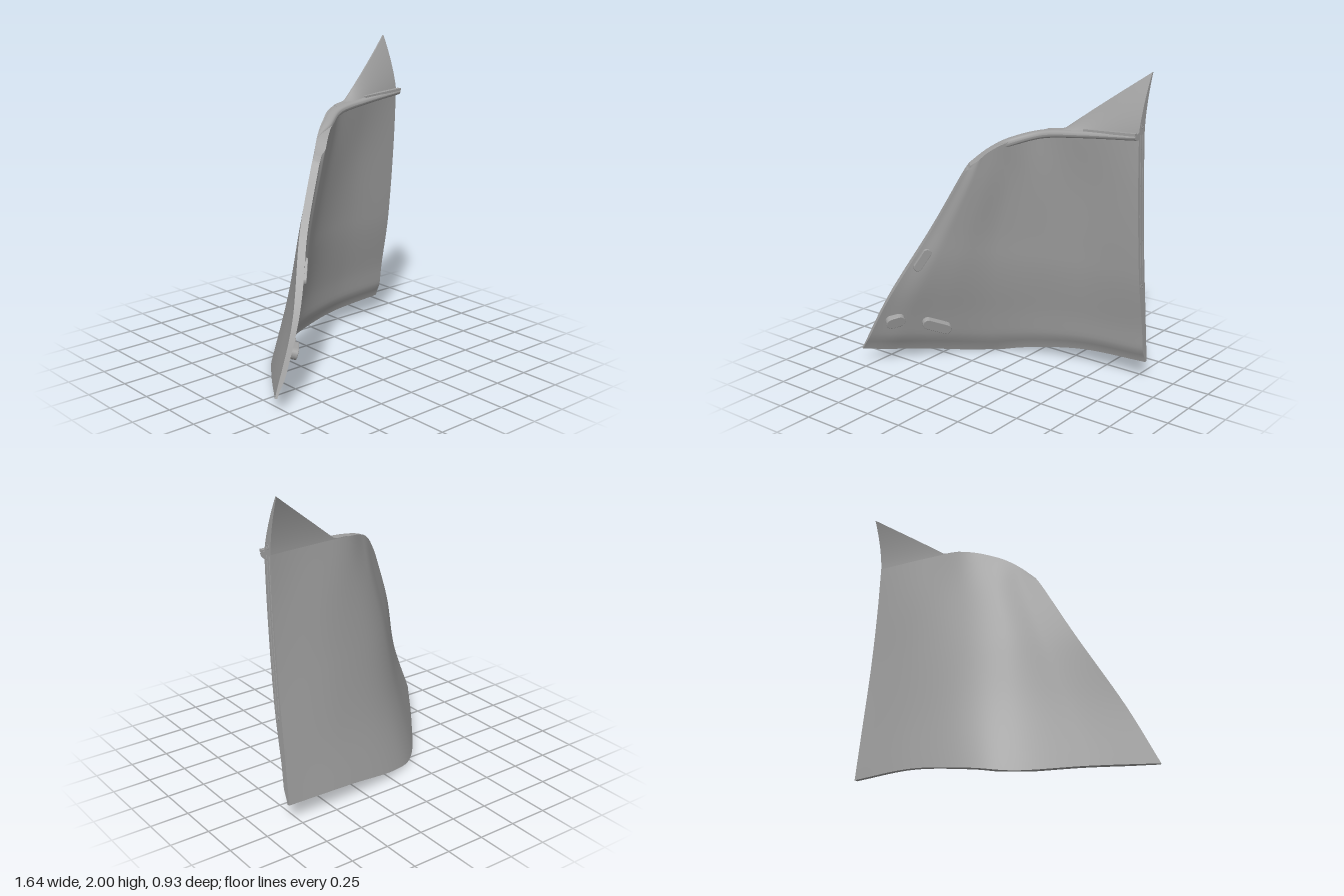
import * as THREE from 'three';

const V = (x, y, z) => new THREE.Vector3(x, y, z);
const smooth = (x, a, b) => THREE.MathUtils.smoothstep(x, a, b);

// Control rows of the outer skin, bottom to rim, each running right tip -> left end
const rows = [
  [[-.82, .1, .455], [-.56, .05, .09], [-.3, 0, -.23], [-.05, .035, -.375], [.35, .1, -.445], [.82, .125, -.465]],
  [[-.63, .5, .385], [-.42, .48, .09], [-.2, .46, -.17], [.05, .46, -.32], [.4, .46, -.4], [.82, .46, -.428]],
  [[-.42, .95, .2], [-.28, .93, .04], [-.12, .92, -.14], [.1, .9, -.27], [.42, .9, -.355], [.82, .9, -.38]],
  [[-.25, 1.3, .1], [-.15, 1.3, 0], [-.02, 1.3, -.13], [.17, 1.3, -.235], [.45, 1.3, -.315], [.82, 1.3, -.35]],
  [[-.2, 1.39, .075], [-.11, 1.48, 0], [0, 1.55, -.08], [.18, 1.605, -.2], [.45, 1.63, -.265], [.82, 1.65, -.335]],
].map(r => new THREE.CatmullRomCurve3(r.map(p => V(...p)), false, 'catmullrom', .5));

const outer = (u, v) =>
  new THREE.CatmullRomCurve3(rows.map(r => r.getPoint(u)), false, 'catmullrom', .5).getPoint(v);

// Unit normal pointing to the hollow front side
function normal(u, v) {
  const e = .004, u0 = Math.max(0, u - e), u1 = Math.min(1, u + e);
  const v0 = Math.max(0, v - e), v1 = Math.min(1, v + e);
  const du = outer(u1, v).sub(outer(u0, v)), dv = outer(u, v1).sub(outer(u, v0));
  return du.cross(dv).normalize();
}

// Inner skin: thin at the bottom hem, thicker higher up
function inner(u, v) {
  const t = (.02 + .025 * smooth(v, 0, .08) + .022 * smooth(v, .15, .42)) * (.7 + .3 * smooth(u, 0, .1));
  const n = normal(u, v);
  n.x *= 1 - u ** 4;
  const p = outer(u, v).addScaledVector(n, t);
  p.y = Math.max(0, p.y);
  return p;
}

// Smooth grid surface from a function of (u, v)
function sheet(fn, nu, nv) {
  const pos = [], idx = [];
  for (let j = 0; j <= nv; j++)
    for (let i = 0; i <= nu; i++) pos.push(...fn(i / nu, j / nv).toArray());
  for (let j = 0; j < nv; j++)
    for (let i = 0; i < nu; i++) {
      const a = j * (nu + 1) + i, b = a + 1, c = a + nu + 1, d = c + 1;
      idx.push(a, b, d, a, d, c);
    }
  const g = new THREE.BufferGeometry();
  g.setAttribute('position', new THREE.Float32BufferAttribute(pos, 3));
  g.setIndex(idx);
  g.computeVertexNormals();
  return g;
}

export function createModel() {
  const model = new THREE.Group();
  const grey = new THREE.MeshStandardMaterial({ color: 0xa0a0a0, side: THREE.DoubleSide });
  grey.name = 'plainGrey';
  const add = (name, geo) => {
    const m = new THREE.Mesh(geo, grey);
    m.name = name;
    model.add(m);
    return m;
  };

  // A solid between a back and a front surface, closed by four edge walls
  function solid(name, back, front, nu, nv) {
    const mix = (u, v, t) => back(u, v).lerp(front(u, v), t);
    add(name + 'Back', sheet((u, v) => back(1 - u, v), nu, nv));
    add(name + 'Front', sheet(front, nu, nv));
    add(name + 'BottomEdge', sheet((u, t) => mix(u, 0, t), nu, 1));
    add(name + 'TopEdge', sheet((u, t) => mix(u, 1, 1 - t), nu, 1));
    add(name + 'RightEdge', sheet((t, v) => mix(0, v, t), 1, nv));
    add(name + 'LeftEdge', sheet((t, v) => mix(1, v, 1 - t), 1, nv));
  }
  solid('panel', outer, inner, 60, 48);

  // Swept fin rising above the rim
  const finBack = (s, w) => {
    const p = outer(.62 + .38 * s, 1);
    const h = Math.max(.004, (2 - 1.65) * (p.x - .31) / .51) * w;
    p.y += h;
    p.z -= .075 * (h / .35) ** 1.7;
    return p;
  };
  const finFront = (s, w) => finBack(s, w).add(V(0, 0, .01 + .055 * (1 - w)));
  solid('fin', finBack, finFront, 24, 14);

  // Rounded lip along the rim, tapering out toward the right edge
  const lip = (s, t) => {
    const u = .16 + .84 * s, a = t * Math.PI * 2;
    const n = normal(u, .985).setY(0).normalize();
    const k = smooth(s, -.04, .28);
    const w = (.025 + .03 * s) * k, h = .03 * k - .008 * s;
    const sq = x => Math.sign(x) * Math.abs(x) ** .75;
    n.x *= 1 - u ** 4;
    return outer(u, 1).addScaledVector(n, w * (1 + sq(Math.cos(a)))).add(V(0, h * (sq(Math.sin(a)) - .85), 0));
  };
  add('rimLip', sheet(lip, 50, 20));
  add('lipEnd', sheet((r, t) => lip(1, t).lerp(V(.82, 1.63, -.28), r), 1, 20));

  // Raised joint strip on top of the lip
  const strip = add('lipStrip', new THREE.BoxGeometry(.35, .016, .03));
  strip.position.set(.645, 1.643, -.222);
  strip.rotation.set(0, .08, .035);

  // Twin rails and round sockets on the left end face
  for (const dz of [-.012, .012]) {
    const path = new THREE.CatmullRomCurve3(
      [V(.818, .7, -.366 + dz), V(.818, 1.15, -.328 + dz), V(.818, 1.64, -.305 + dz)]);
    add('endRail', new THREE.TubeGeometry(path, 20, .005, 6));
  }
  for (const [y, z] of [[1.69, -.305], [.66, -.366]]) {
    const ring = add('endSocket', new THREE.TorusGeometry(.012, .004, 8, 20));
    ring.position.set(.818, y, z);
    ring.rotation.y = Math.PI / 2;
  }

  // Oblong pegs and an edge clip on the hollow side
  function peg(name, u, v, length, width, height, tilt) {
    const r = width / 2, l = length / 2 - r, s = new THREE.Shape();
    s.absarc(l, 0, r, -Math.PI / 2, Math.PI / 2);
    s.absarc(-l, 0, r, Math.PI / 2, Math.PI * 1.5);
    const g = new THREE.ExtrudeGeometry(s, {
      depth: height + .02, bevelEnabled: true, bevelSize: .004, bevelThickness: .004, bevelSegments: 2, curveSegments: 10,
    });
    g.rotateZ(tilt);
    const m = add(name, g), n = normal(u, v), p = inner(u, v);
    m.position.copy(p).addScaledVector(n, -.02);
    m.lookAt(m.position.clone().add(n));
  }
  peg('frontPeg', .055, .15, .12, .07, .035, .25);
  peg('rearPeg', .2, .125, .2, .065, .035, -.4);
  peg('edgeClip', .04, .39, .16, .05, .008, 1.0);

  return model;
}
